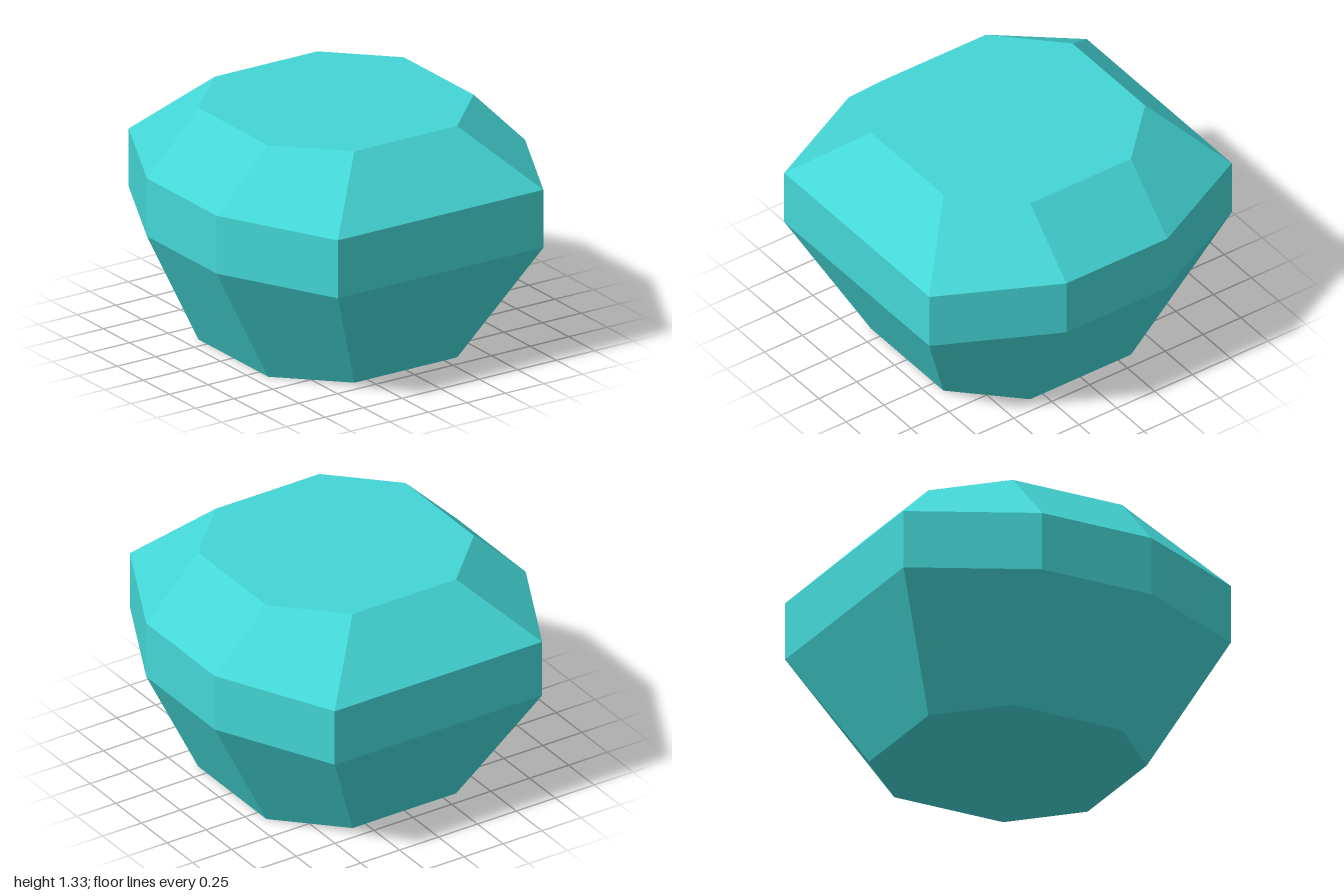
import * as THREE from 'three';

const T = 1 / 3;

// Eight corners of a ring, counterclockwise seen from above, starting at front right
function ring(y, a, d, w, b) {
  return [[-a, d], [a, d], [w, b], [w, -b], [a, -d], [-a, -d], [-w, -b], [-w, b]]
    .map(([x, z]) => new THREE.Vector3(x, y, z));
}

// Geometry from convex faces, each with a single flat normal
function facetGeometry(faces) {
  const positions = [], normals = [];
  for (let face of faces) {
    // Fold slightly bent quads along their shorter diagonal
    if (face.length === 4 && face[1].distanceTo(face[3]) < face[0].distanceTo(face[2]) - 1e-6) {
      face = [...face.slice(1), face[0]];
    }
    const normal = face[2].clone().sub(face[0])
      .cross(face[3].clone().sub(face[1])).normalize();
    for (let i = 1; i < face.length - 1; i++) {
      for (const p of [face[0], face[i], face[i + 1]]) {
        positions.push(...p.toArray());
        normals.push(...normal.toArray());
      }
    }
  }
  const geometry = new THREE.BufferGeometry();
  geometry.setAttribute('position', new THREE.Float32BufferAttribute(positions, 3));
  geometry.setAttribute('normal', new THREE.Float32BufferAttribute(normals, 3));
  return geometry;
}

// Quads joining a lower ring to an upper ring
function band(lower, upper) {
  return lower.map((p, i) => {
    const j = (i + 1) % lower.length;
    return [p, lower[j], upper[j], upper[i]];
  });
}

export function createModel() {
  const turquoise = new THREE.MeshStandardMaterial({ color: 0x44d6d6 });
  turquoise.name = 'turquoise';

  const base = ring(0, T, 2 * T, 2 * T, T);
  const girdleLow = ring(2 * T, 2 * T, 1, 1, T);
  const girdleHigh = ring(1, 2 * T, 1, 1, T);
  const table = ring(4 * T, T, 2 * T, 2 * T, T);

  const parts = {
    lowerFacets: band(base, girdleLow),
    girdle: band(girdleLow, girdleHigh),
    upperFacets: band(girdleHigh, table),
    topFace: [table],
    bottomFace: [[...base].reverse()],
  };

  const gem = new THREE.Group();
  gem.name = 'gem';
  for (const [name, faces] of Object.entries(parts)) {
    const mesh = new THREE.Mesh(facetGeometry(faces), turquoise);
    mesh.name = name;
    gem.add(mesh);
  }
  return gem;
}
